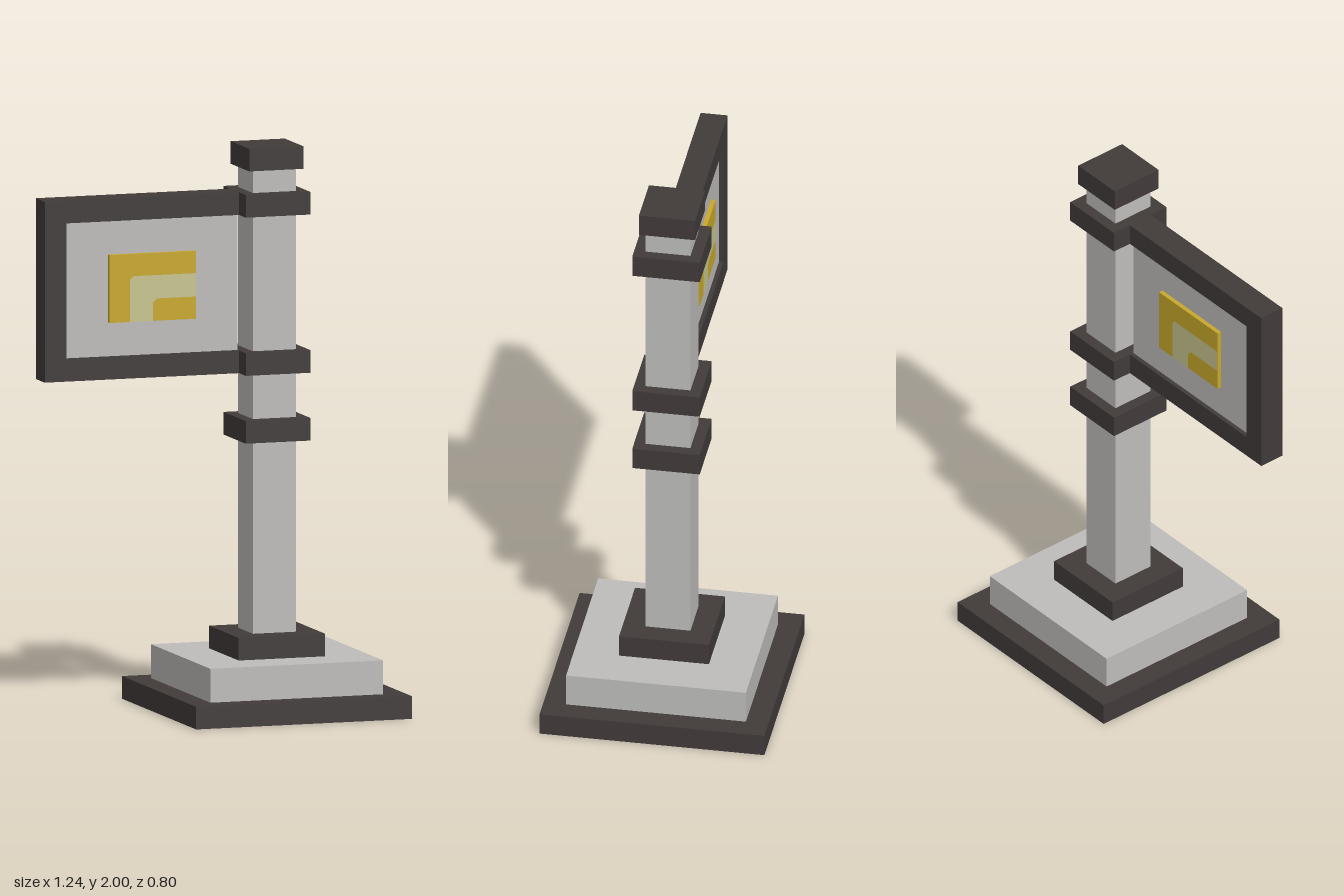
import * as THREE from 'three';

const material = (name, color) => {
  const m = new THREE.MeshStandardMaterial({ color });
  m.name = name;
  return m;
};

export function createModel() {
  const dark = material('dark iron', 0x413b3a);
  const stone = material('pale stone', 0xbebdbb);
  const gold = material('gold', 0xc9a82c);
  const pale = material('pale yellow', 0xc8c68f);

  const model = new THREE.Group();
  model.name = 'signpost';

  // Box given by its x range, y range and depth, centred on z = 0
  function box(name, mat, x0, x1, y0, y1, depth) {
    const mesh = new THREE.Mesh(new THREE.BoxGeometry(x1 - x0, y1 - y0, depth), mat);
    mesh.position.set((x0 + x1) / 2, (y0 + y1) / 2, 0);
    mesh.name = name;
    model.add(mesh);
  }

  // Square blocks stacked along the post axis
  const axis = 0.22;
  const block = (name, mat, width, y0, y1) =>
    box(name, mat, axis - width / 2, axis + width / 2, y0, y1, width);
  block('basePlinth', dark, 0.8, 0, 0.08);
  block('baseStep', stone, 0.64, 0.08, 0.2);
  block('postFoot', dark, 0.32, 0.2, 0.28);
  block('post', stone, 0.16, 0.28, 1.92);
  block('postCap', dark, 0.2, 1.92, 2);
  [0.96, 1.2, 1.76].forEach((y, i) => block(`postBand${i + 1}`, dark, 0.24, y, y + 0.08));

  // Hanging sign: three-sided frame around a recessed panel
  box('signFrameTop', dark, -0.62, 0.1, 1.76, 1.84, 0.096);
  box('signFrameBottom', dark, -0.62, 0.1, 1.2, 1.28, 0.096);
  box('signFrameSide', dark, -0.62, -0.54, 1.28, 1.76, 0.096);
  box('signPanel', stone, -0.54, 0.1, 1.28, 1.76, 0.064);
  box('signPlaque', gold, -0.38, -0.06, 1.4, 1.64, 0.096);

  // Bent stripe painted on both faces of the plaque
  const stripe = new THREE.Shape([
    [-0.084, -0.12], [-0.084, 0.03], [-0.072, 0.042], [0.16, 0.042],
    [0.16, -0.041], [0.016, -0.041], [0, -0.057], [0, -0.12],
  ].map(([x, y]) => new THREE.Vector2(x, y)));
  const stripeGeometry = new THREE.ShapeGeometry(stripe);
  for (const side of [1, -1]) {
    const mesh = new THREE.Mesh(stripeGeometry, pale);
    mesh.name = side > 0 ? 'plaqueStripeFront' : 'plaqueStripeBack';
    mesh.position.set(-0.22, 1.52, side * 0.0495);
    mesh.rotation.y = side > 0 ? 0 : Math.PI;
    model.add(mesh);
  }

  return model;
}
